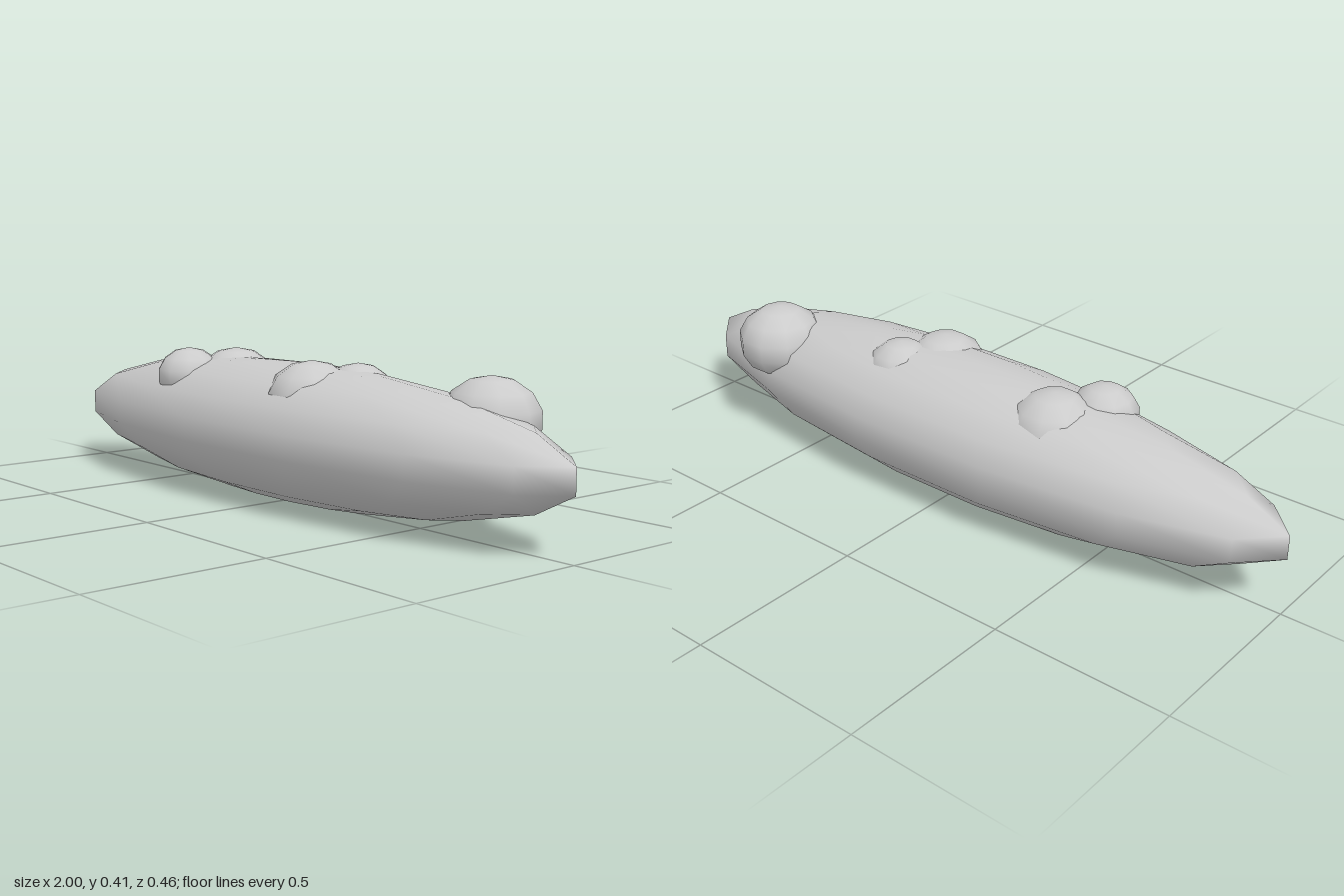
import * as THREE from 'three';

export function createModel() {
  const group = new THREE.Group();
  const material = new THREE.MeshStandardMaterial({ color: 0xcccccc });

  // Smooth low-poly ellipsoid with upright poles
  function ellipsoid(name, widthSegments, heightSegments, position, radii) {
    const geometry = new THREE.SphereGeometry(1, widthSegments, heightSegments);
    geometry.scale(...radii);
    const mesh = new THREE.Mesh(geometry, material);
    mesh.name = name;
    mesh.position.set(...position);
    group.add(mesh);
  }

  // Long hull
  ellipsoid('body', 14, 9, [0, 0.196, 0], [1.0154, 0.194, 0.237]);

  // Bumps half sunk into the upper side: x, y, z, radius
  const bumps = [
    ['largeBump', 0.648, 0.293, -0.096, 0.129],
    ['frontLeftBump', 0.135, 0.301, 0.055, 0.127],
    ['frontRightBump', -0.392, 0.325, 0.085, 0.096],
    ['backRightBump', -0.315, 0.298, -0.03, 0.127],
    ['backLeftBump', 0.21, 0.316, -0.045, 0.1],
  ];
  for (const [name, x, y, z, r] of bumps) {
    ellipsoid(name, 10, 7, [x, y, z], [r, r * 0.84, r]);
  }

  return group;
}
